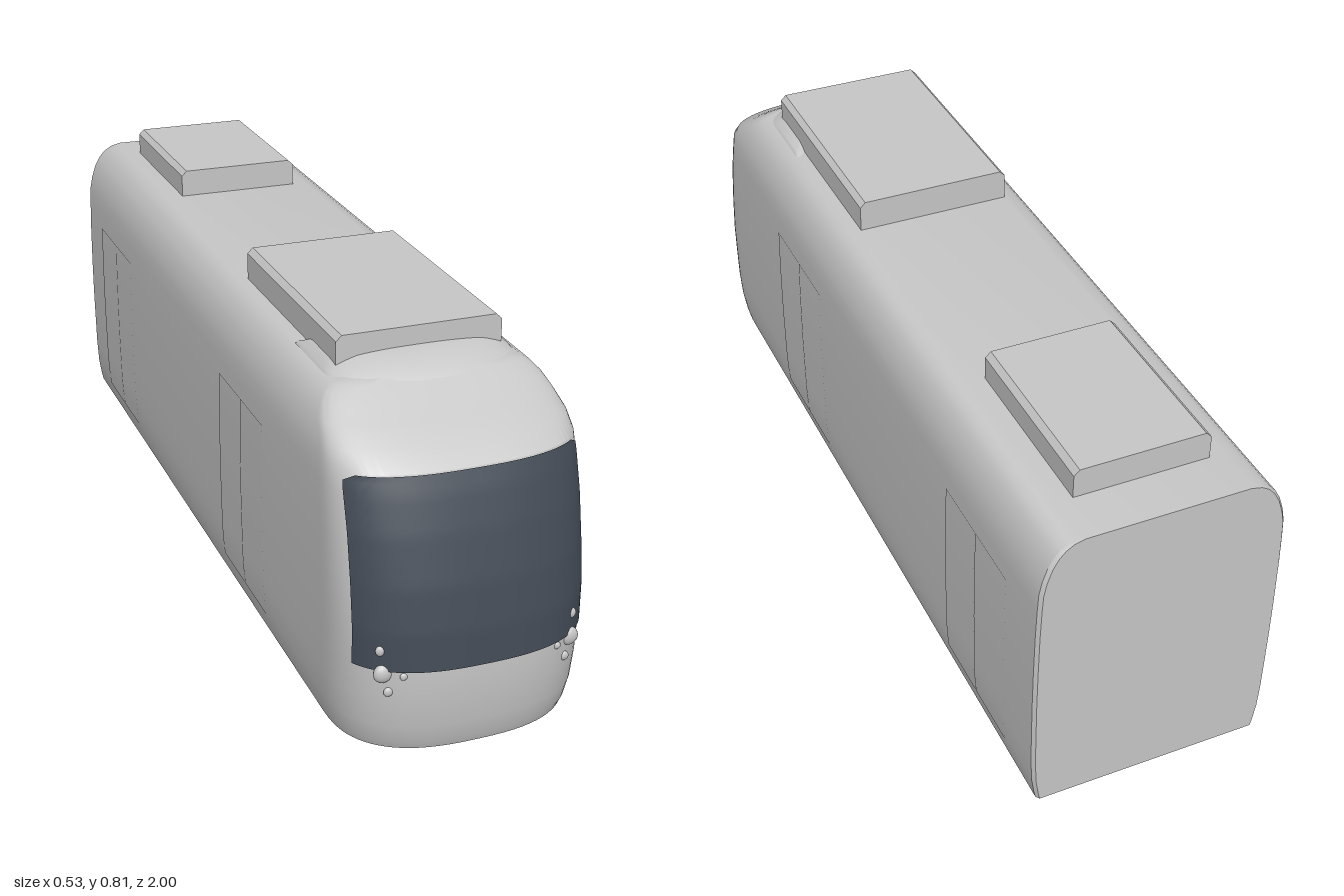
import * as THREE from 'three';
import { toCreasedNormals } from 'three/addons/utils/BufferGeometryUtils.js';

// Rows of a shell, bottom to top: [height, half width, nose z, depth of the rounded nose]
const BODY = [
  [0.062, 0.25, 0.975, 0.2], [0.08, 0.254, 0.982, 0.2], [0.12, 0.26, 0.99, 0.2],
  [0.18, 0.263, 0.997, 0.2], [0.25, 0.264, 1.0, 0.2], [0.33, 0.265, 0.994, 0.19],
  [0.42, 0.265, 0.978, 0.18], [0.52, 0.264, 0.951, 0.16], [0.59, 0.262, 0.928, 0.15],
  [0.63, 0.26, 0.912, 0.14], [0.66, 0.254, 0.872, 0.11], [0.69, 0.244, 0.815, 0.09],
  [0.712, 0.232, 0.775, 0.07], [0.728, 0.218, 0.748, 0.06], [0.738, 0.202, 0.73, 0.05],
  [0.744, 0.178, 0.72, 0.04],
];
const FAIRING = [
  [0.735, 0.202, 0.735, 0.1], [0.745, 0.196, 0.722, 0.1], [0.757, 0.177, 0.7, 0.1],
  [0.768, 0.16, 0.675, 0.1], [0.775, 0.14, 0.635, 0.09],
];
const POWER = 2.6;

function rowAt(y) {
  let i = 0;
  while (i < BODY.length - 2 && BODY[i + 1][0] < y) i++;
  const a = BODY[i], b = BODY[i + 1];
  const t = (y - a[0]) / (b[0] - a[0]);
  return a.map((v, k) => v + (b[k] - v) * t);
}

// z of the nose surface at a given x and y
function noseZ(x, y) {
  const [, w, front, depth] = rowAt(y);
  const r = Math.min(1, Math.abs(x) / w);
  return front - depth * (1 - Math.pow(1 - Math.pow(r, POWER), 1 / POWER));
}

function makeGeometry(positions, indices, crease) {
  const g = new THREE.BufferGeometry();
  g.setAttribute('position', new THREE.Float32BufferAttribute(positions, 3));
  g.setIndex(indices);
  return toCreasedNormals(g, crease);
}

// Closed shell: stacked plan outlines with a squarish rounded nose
function shell(rows, backAt) {
  const steps = 20, pos = [], idx = [];
  let n = 0;
  rows.forEach(([y, w, front, depth], j) => {
    const back = backAt(j);
    const half = [[w - 0.006, back], [w, back + 0.008]];
    for (let k = 0; k <= steps; k++) {
      const t = (k / steps) * Math.PI / 2;
      const c = k === steps ? 0 : Math.cos(t);
      half.push([w * Math.pow(c, 2 / POWER), front - depth + depth * Math.pow(Math.sin(t), 2 / POWER)]);
    }
    const outline = half.concat(half.slice(0, -1).reverse().map(([x, z]) => [-x, z]));
    n = outline.length;
    outline.forEach(([x, z]) => pos.push(x, y, z));
  });
  for (let j = 0; j < rows.length - 1; j++) {
    for (let i = 0; i < n; i++) {
      const a = j * n + i, b = j * n + (i + 1) % n;
      idx.push(a, a + n, b + n, a, b + n, b);
    }
  }
  const top = (rows.length - 1) * n;
  for (let i = 0; i < (n - 1) / 2; i++) {
    const p = i, p2 = i + 1, q = n - 1 - i, q2 = n - 2 - i;
    idx.push(top + p, top + q, top + q2, p, q2, q);
    if (p2 !== q2) idx.push(top + p, top + q2, top + p2, p, p2, q2);
  }
  return makeGeometry(pos, idx, 0.5);
}

// Open grid surface from a function of u and v (0 to 1)
function patch(nu, nv, fn) {
  const pos = [], idx = [];
  for (let j = 0; j <= nv; j++) for (let i = 0; i <= nu; i++) pos.push(...fn(i / nu, j / nv));
  for (let j = 0; j < nv; j++) {
    for (let i = 0; i < nu; i++) {
      const a = j * (nu + 1) + i, d = a + nu + 1;
      idx.push(a, a + 1, d + 1, a, d + 1, d);
    }
  }
  return makeGeometry(pos, idx, 0.8);
}

export function createModel() {
  const group = new THREE.Group();
  const paint = new THREE.MeshStandardMaterial({ color: 0xc6c6c6 });
  paint.name = 'light grey paint';
  const glass = new THREE.MeshStandardMaterial({ color: 0x434b56 });
  glass.name = 'dark glass';

  function add(name, geometry, material = paint, x = 0, y = 0, z = 0) {
    const mesh = new THREE.Mesh(geometry, material);
    mesh.name = name;
    mesh.position.set(x, y, z);
    group.add(mesh);
    return mesh;
  }

  // Car body and the small fairing on the roof
  add('body', shell(BODY, () => -1));
  add('roofFairing', shell(FAIRING, (j) => 0.46 + j * 0.025));

  // Windscreen following the nose, with rounded upper corners
  add('windscreen', patch(48, 30, (u, v) => {
    const y = 0.253 + 0.376 * v;
    const k = Math.max(0, (y - 0.609) / 0.02);
    const h = 0.242 - 0.02 * (1 - Math.sqrt(Math.max(0, 1 - k * k)));
    const x = h * Math.sin((u - 0.5) * Math.PI);
    return [x * 1.006, y, noseZ(x, y) + 0.004];
  }), glass);

  // Roof equipment boxes with chamfered upper edges
  function roofBox(name, w, top, z0, z1) {
    const c = 0.012, s = new THREE.Shape();
    s.moveTo(-w, 0.738);
    s.lineTo(w, 0.738);
    s.lineTo(w, top - c);
    s.lineTo(w - c, top);
    s.lineTo(c - w, top);
    s.lineTo(-w, top - c);
    add(name, new THREE.ExtrudeGeometry(s, { depth: z1 - z0, bevelEnabled: false }), paint, 0, 0, z0);
  }
  roofBox('frontRoofBox', 0.177, 0.814, 0.11, 0.645);
  roofBox('rearRoofBox', 0.145, 0.807, -0.89, -0.495);

  // Double doors, two thin leaves on each side
  for (const side of [1, -1]) {
    for (const [name, centre] of [['frontDoor', 0.31], ['rearDoor', -0.718]]) {
      for (const leaf of [-1, 1]) {
        const z = centre + leaf * 0.073;
        add(name + 'Leaf', patch(1, 12, (u, v) => {
          const y = 0.105 + 0.45 * v;
          return [side * (rowAt(y)[1] + 0.0015), y, z + side * (0.5 - u) * 0.143];
        }));
      }
    }
  }

  // Headlight clusters: [x, y, radius]
  const lamps = [[0.2, 0.295, 0.012], [0.197, 0.246, 0.02], [0.162, 0.242, 0.008], [0.187, 0.205, 0.01]];
  for (const side of [1, -1]) {
    for (const [x, y, r] of lamps) {
      add('headlight', new THREE.SphereGeometry(r, 16, 12), paint, side * x, y, noseZ(x, y))
        .scale.z = 0.6;
    }
  }

  // Flanged wheels and axles
  const wheelProfile = [[0, 0], [0.06, 0], [0.065, 0.003], [0.065, 0.007], [0.058, 0.011], [0.056, 0.026], [0.045, 0.028], [0, 0.028]]
    .map(([r, h]) => new THREE.Vector2(r, h));
  const wheel = toCreasedNormals(new THREE.LatheGeometry(wheelProfile, 40), 0.5);
  for (const z of [0, -0.4]) {
    for (const side of [1, -1]) {
      add('wheel', wheel, paint, side * 0.154, 0.065, z).rotation.z = -side * Math.PI / 2;
    }
    add('axle', new THREE.CylinderGeometry(0.007, 0.007, 0.31, 16), paint, 0, 0.064, z)
      .rotation.z = Math.PI / 2;
  }
  return group;
}
